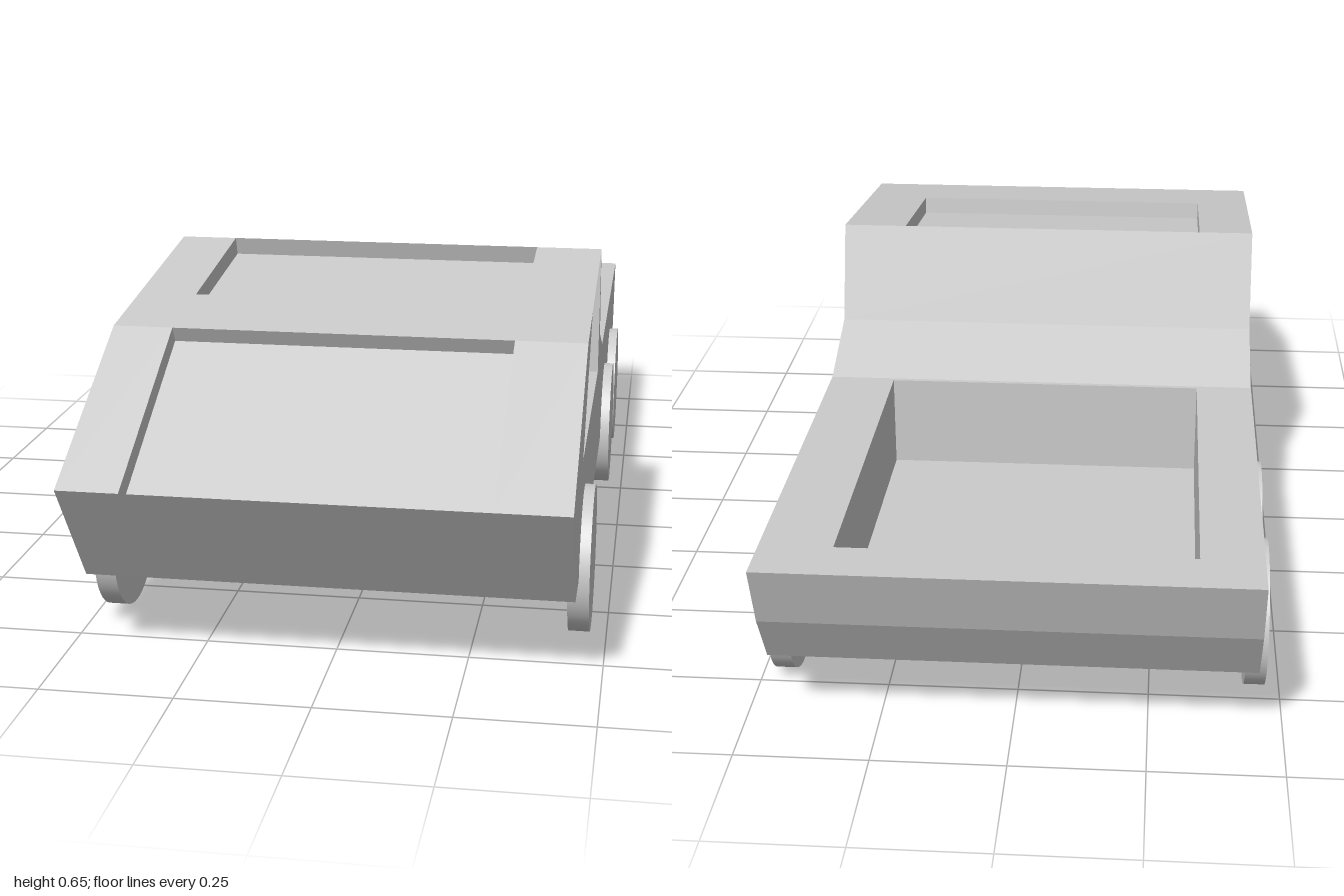
import * as THREE from 'three';

const HALF = 0.45;                 // half width of the body
const X0 = -0.335, X1 = 0.315;     // sides of the recesses along the middle

// Key profile points as [z, y]
const NOSE = [1, 0.385], BROW = [0.62, 0.585], ROOF_END = [0.095, 0.652];
const CAB_BACK = [0.03, 0.452], BED_FRONT = [-0.14, 0.385], TAIL = [-1, 0.385];
const UNDER = [TAIL, [-0.955, 0.26], [-0.89, 0.15], [0.1, 0.15], [0.85, 0.17], NOSE];
const roofY = z => THREE.MathUtils.mapLinear(z, BROW[0], ROOF_END[0], BROW[1], ROOF_END[1]);
const WINDOW = [[0.7, 0.385], [0.095, 0.385], ROOF_END, [0.46, roofY(0.46)]];

const material = new THREE.MeshStandardMaterial({ color: 0xcccccc });

// Flat polygons, each a loop of [x, y, z] corners, counter-clockwise from outside
function sheet(name, polygons) {
  const pos = [];
  for (const p of polygons)
    for (let i = 1; i < p.length - 1; i++) pos.push(...p[0], ...p[i], ...p[i + 1]);
  const geo = new THREE.BufferGeometry();
  geo.setAttribute('position', new THREE.Float32BufferAttribute(pos, 3));
  geo.computeVertexNormals();
  const mesh = new THREE.Mesh(geo, material);
  mesh.name = name;
  return mesh;
}

// Quads spanning xa..xb along a profile running front to back over the top
function strip(profile, xa = -HALF, xb = HALF) {
  return profile.slice(1).map(([z2, y2], i) => {
    const [z1, y1] = profile[i];
    return [[xa, y1, z1], [xb, y1, z1], [xb, y2, z2], [xa, y2, z2]];
  });
}

// Sunken panel: the floor polygon and the walls joining it to the rim
function recess(name, rim, floor) {
  const walls = rim.map((r, i) => {
    const j = (i + 1) % rim.length;
    return [r, rim[j], floor[j], floor[i]];
  });
  return sheet(name, [floor, ...walls]);
}

// Recess in a top surface, given front and back points of rim and floor
const topRecess = (name, rimF, rimB, floorF, floorB) =>
  recess(name, strip([rimF, rimB], X0, X1)[0], strip([floorF, floorB], X0, X1)[0]);

// Surface around a recess: a strip on each side of it
const flanks = (a, b) => [...strip([a, b], -HALF, X0), ...strip([a, b], X1, HALF)];

function sidePanel(s) {
  const outline = [NOSE, BROW, WINDOW[3], WINDOW[0], WINDOW[1], ROOF_END,
    CAB_BACK, BED_FRONT, ...UNDER.slice(0, -1)];
  const shape = new THREE.Shape(outline.map(([z, y]) => new THREE.Vector2(-s * z, y)));
  const geo = new THREE.ShapeGeometry(shape).rotateY(s * Math.PI / 2).translate(s * HALF, 0, 0);
  const mesh = new THREE.Mesh(geo, material);
  mesh.name = 'sidePanel';
  return mesh;
}

function sideWindow(s) {
  const loop = s > 0 ? WINDOW : [...WINDOW].reverse();
  const at = x => loop.map(([z, y]) => [s * x, y, z]);
  return recess('sideWindow', at(HALF), at(HALF - 0.035));
}

function wheel(s, y, z) {
  const geo = new THREE.CylinderGeometry(0.14, 0.14, 0.04, 48).rotateZ(Math.PI / 2);
  const mesh = new THREE.Mesh(geo, material);
  mesh.name = 'wheel';
  mesh.position.set(s * 0.45, y, z);
  return mesh;
}

export function createModel() {
  const model = new THREE.Group();
  model.name = 'sixWheelPickup';

  // Windshield slope, roof and cab back
  const roofFront = [0.44, roofY(0.44)];
  model.add(sheet('windshieldFrame', flanks(NOSE, BROW)));
  model.add(topRecess('windshield', NOSE, BROW, [0.979, 0.355], [0.604, 0.555]));
  model.add(sheet('roof', [...strip([BROW, roofFront]), ...flanks(roofFront, ROOF_END)]));
  model.add(topRecess('roofPanel', roofFront, ROOF_END, [0.436, 0.572], [0.083, 0.615]));
  model.add(sheet('cabBack', strip([ROOF_END, CAB_BACK, BED_FRONT])));

  // Cargo bed with its rim
  const bedA = [-0.15, 0.385], bedB = [-0.9, 0.385];
  model.add(sheet('bedRim', [...strip([BED_FRONT, bedA]), ...flanks(bedA, bedB), ...strip([bedB, TAIL])]));
  model.add(topRecess('cargoBed', bedA, bedB, [-0.15, 0.195], [-0.9, 0.195]));

  // Tail, underside and lower nose
  model.add(sheet('underbody', strip(UNDER)));

  // Sides, windows and wheels, mirrored
  for (const s of [1, -1]) {
    model.add(sidePanel(s), sideWindow(s));
    model.add(wheel(s, 0.16, 0.603), wheel(s, 0.145, -0.323), wheel(s, 0.145, -0.66));
  }
  // Rest the lowest wheels on the ground
  model.position.y = -0.005;
  const root = new THREE.Group();
  root.name = 'vehicle';
  root.add(model);
  return root;
}
